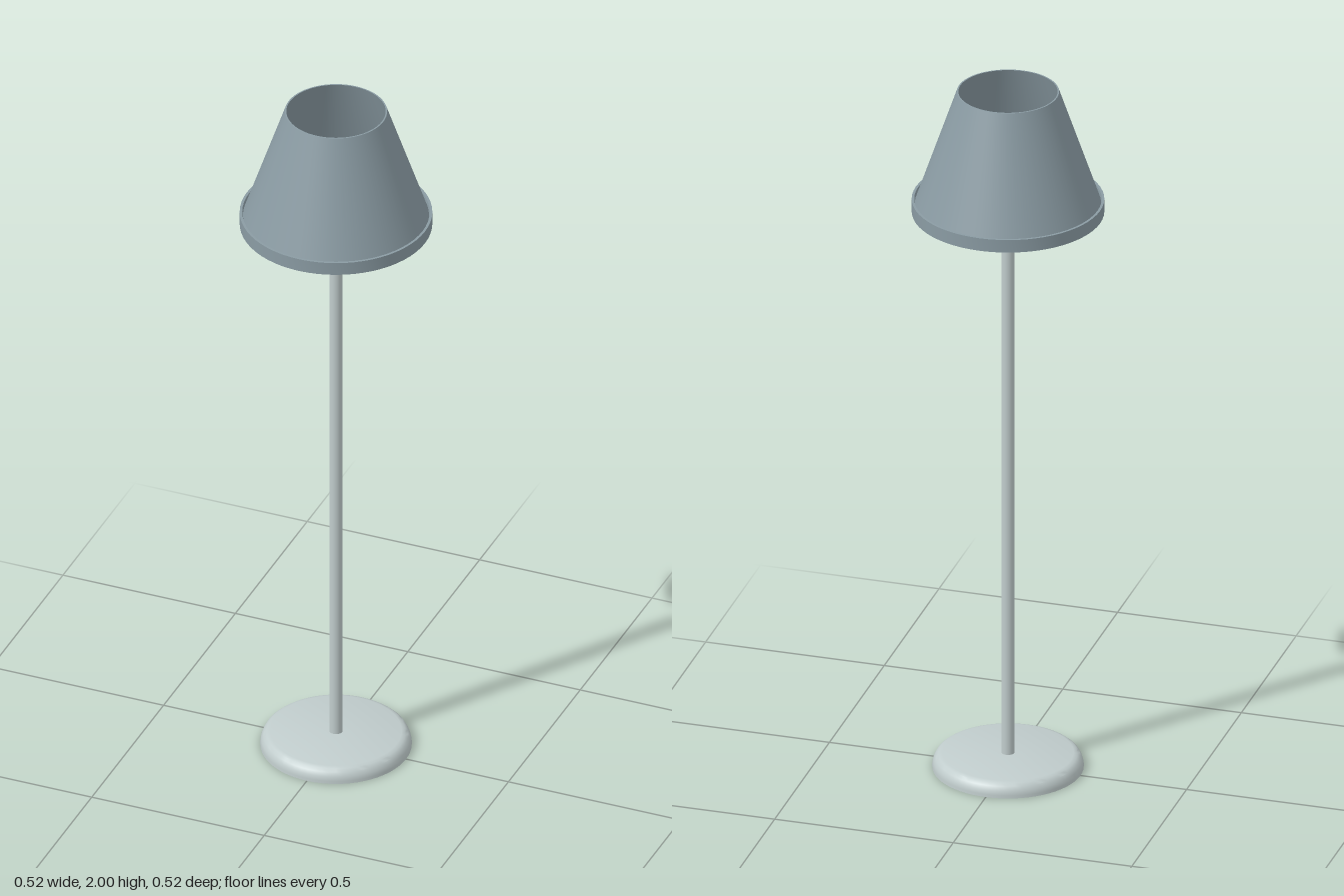
import * as THREE from 'three';
import { toCreasedNormals } from 'three/addons/utils/BufferGeometryUtils.js';

const SEGMENTS = 64;

// Revolves a profile of [radius, height] points, keeping sharp corners
function turned(name, profile, material, crease = 0.3) {
  const points = profile.map(([r, y]) => new THREE.Vector2(r, y));
  const geometry = toCreasedNormals(new THREE.LatheGeometry(points, SEGMENTS), crease);
  const mesh = new THREE.Mesh(geometry, material);
  mesh.name = name;
  return mesh;
}

export function createModel() {
  const lamp = new THREE.Group();
  lamp.name = 'floorLamp';
  const pale = new THREE.MeshStandardMaterial({ color: 0xc0cccc });
  const slate = new THREE.MeshStandardMaterial({ color: 0x8a9ba3, side: THREE.DoubleSide });

  // Flat disc foot with a rounded shoulder
  lamp.add(turned('base', [
    [0, 0], [0.203, 0], [0.203, 0.008], [0.2, 0.02], [0.194, 0.031],
    [0.186, 0.038], [0.176, 0.041], [0, 0.041],
  ], pale, 0.5));

  // Slim upright pole, ending inside the bulb
  const pole = new THREE.Mesh(new THREE.CylinderGeometry(0.018, 0.018, 1.66, 32), pale);
  pole.name = 'pole';
  pole.position.y = 0.03 + 1.66 / 2;
  lamp.add(pole);

  // Slightly elongated bulb
  const bulb = new THREE.Mesh(new THREE.SphereGeometry(0.043, 48, 32), pale);
  bulb.name = 'bulb';
  bulb.scale.y = 1.45;
  bulb.position.y = 1.727;
  lamp.add(bulb);

  // Hollow tapered shade, open at both ends, with a straight band at the hem
  lamp.add(turned('shade', [
    [0.254, 1.645], [0.258, 1.645], [0.258, 1.682], [0.251, 1.682],
    [0.249, 1.672], [0.137, 2], [0.133, 2], [0.254, 1.645],
  ], slate));

  return lamp;
}
